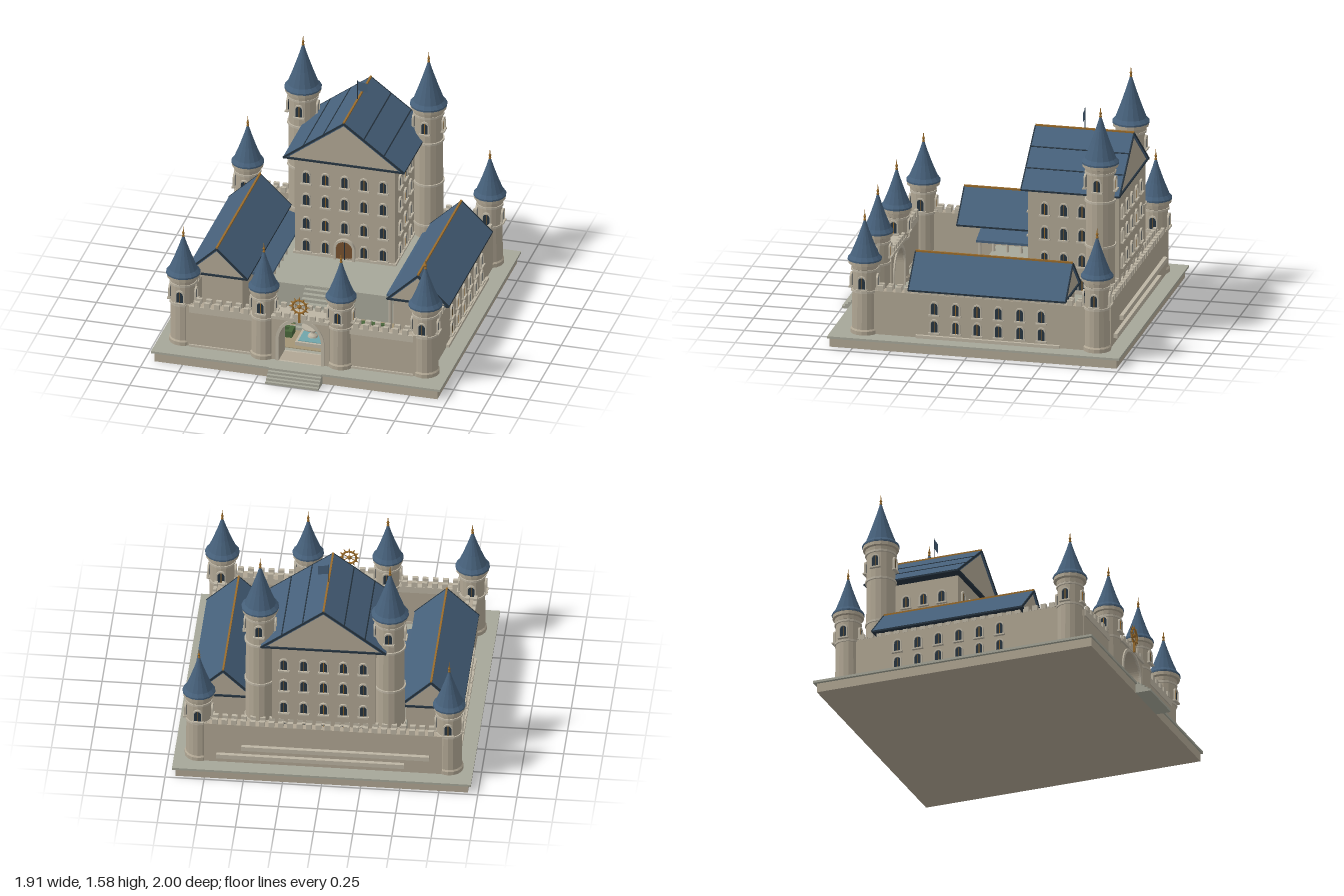
import * as THREE from 'three';

const mat = (color, o = {}) => new THREE.MeshStandardMaterial({ color, flatShading: true, ...o });
const M = {
  wall: mat(0xb0a693), trim: mat(0xbcb4a3), pave: mat(0xa6a799), sand: mat(0xa39576),
  roof: mat(0x46607a), dark: mat(0x263440), gold: mat(0x9a6c2c), hedge: mat(0x48663a),
  water: mat(0x6fa5aa), wood: mat(0x75502f), flag: mat(0x46607a, { side: THREE.DoubleSide }),
};

export function createModel() {
  const root = new THREE.Group();
  const mesh = (name, geo, m, x = 0, y = 0, z = 0, parent = root) => {
    const o = new THREE.Mesh(geo, m);
    o.name = name;
    o.position.set(x, y, z);
    parent.add(o);
    return o;
  };
  // box given by its limits on each axis
  const box = (name, m, x0, x1, y0, y1, z0, z1, parent = root) =>
    mesh(name, new THREE.BoxGeometry(x1 - x0, y1 - y0, z1 - z0), m, (x0 + x1) / 2, (y0 + y1) / 2, (z0 + z1) / 2, parent);
  const group = (name, x = 0, y = 0, z = 0, ry = 0) => {
    const g = new THREE.Group();
    g.name = name;
    g.position.set(x, y, z);
    g.rotation.y = ry;
    root.add(g);
    return g;
  };
  const poly = pts => new THREE.Shape(pts.map(p => new THREE.Vector2(...p)));
  const extrude = (shape, depth, curveSegments = 8) =>
    new THREE.ExtrudeGeometry(shape, { depth, bevelEnabled: false, curveSegments });
  // round-headed outline, base at y = 0
  const arch = (w, h, C = THREE.Shape) => {
    const s = new C();
    s.moveTo(-w / 2, 0);
    s.lineTo(w / 2, 0);
    s.lineTo(w / 2, h - w / 2);
    s.absarc(0, h - w / 2, w / 2, 0, Math.PI, false);
    s.lineTo(-w / 2, 0);
    return s;
  };

  // Arched windows, shared geometry
  const frameShape = arch(0.06, 0.09);
  frameShape.holes.push(arch(0.044, 0.08, THREE.Path));
  const frameGeo = extrude(frameShape, 0.012, 6), paneGeo = extrude(arch(0.046, 0.081), 0.004, 6);
  const barGeo = new THREE.BoxGeometry(0.004, 0.075, 0.004), sillGeo = new THREE.BoxGeometry(0.072, 0.01, 0.022);
  const windowAt = (x, y, z, ry) => {
    const g = group('window', x, y - 0.045, z, ry);
    mesh('windowFrame', frameGeo, M.trim, 0, 0, 0, g);
    mesh('windowPane', paneGeo, M.dark, 0, 0, 0, g);
    mesh('windowBar', barGeo, M.gold, 0, 0.039, 0.005, g);
    mesh('windowSill', sillGeo, M.trim, 0, -0.003, 0.008, g);
  };

  // Evenly spaced battlements along a line
  const merlons = (x0, z0, x1, z1, y, h = 0.035) => {
    const len = Math.hypot(x1 - x0, z1 - z0), n = Math.round(len / 0.06);
    const geo = new THREE.BoxGeometry(0.036, h, 0.022);
    for (let i = 0; i < n; i++) {
      const t = (i + 0.5) / n;
      mesh('merlon', geo, M.trim, x0 + (x1 - x0) * t, y + h / 2, z0 + (z1 - z0) * t).rotation.y = -Math.atan2(z1 - z0, x1 - x0);
    }
  };

  // Round tower: r shaft radius, e eave radius, h eave height, tip cone top
  const tower = (name, x, z, r, e, h, tip, bands, winY) => {
    const g = group(name, x, 0, z);
    const lathe = (n, m, pts) => mesh(n, new THREE.LatheGeometry(pts.map(p => new THREE.Vector2(...p)), 16), m, 0, 0, 0, g);
    lathe('towerShaft', M.wall, [[r * 1.1, 0.075], [r * 1.1, 0.1], [r, 0.11], [r * 0.95, h - 0.06], [r * 1.02, h - 0.055],
      [r * 1.05, h - 0.03], [e * 0.96, h - 0.025], [e * 0.96, h]]);
    bands.forEach(y => mesh('towerBand', new THREE.CylinderGeometry(r * 1.06, r * 1.06, 0.014, 16), M.trim, 0, y, 0, g));
    const c = tip - h;
    lathe('towerRoof', M.roof, [[0, h - 0.003], [e, h - 0.003], [e, h + 0.008], [e * 0.83, h + 0.03], [e * 0.52, h + c * 0.42], [e * 0.23, h + c * 0.75], [0.004, tip]]);
    lathe('finial', M.gold, [[0.004, tip - 0.02], [0.009, tip - 0.005], [0.005, tip + 0.005], [0.009, tip + 0.016], [0.004, tip + 0.026], [0, tip + 0.065]]);
    for (let k = 0; k < 4; k++) {
      const a = k * Math.PI / 2;
      windowAt(x + Math.sin(a) * r * 0.96, winY, z + Math.cos(a) * r * 0.96, a);
    }
  };

  // Gabled roof running along z, with stone gable, ridge and eave trim
  const gable = (name, cx, w, y0, y1, z0, z1, seams) => {
    const g = group(name, cx);
    const t = 0.022, L = z1 - z0, slope = (y1 - y0) / w;
    mesh('roofSlopes', extrude(poly([[-w, y0], [-w + t / slope, y0], [0, y1 - t], [w - t / slope, y0], [w, y0], [0, y1]]), L), M.roof, 0, 0, z0, g);
    mesh('gableWall', extrude(poly([[-w + 0.02, y0], [w - 0.02, y0], [0, y1 - 0.018]]), L - 0.02), M.wall, 0, 0, z0 + 0.01, g);
    box('eaveTrim', M.dark, -w, w, y0 - 0.012, y0, z0, z1, g);
    box('ridge', M.gold, -0.006, 0.006, y1 - 0.008, y1 + 0.006, z0, z1, g);
    const a = Math.atan(slope);
    for (const s of [-1, 1]) {
      seams.forEach(d => mesh('roofSeam', new THREE.BoxGeometry(0.008, 0.006, L), M.dark, s * d, y1 - slope * d, (z0 + z1) / 2, g).rotation.z = -s * a);
      for (const z of [z0, z1])
        mesh('vergeTrim', new THREE.BoxGeometry(Math.hypot(w, y1 - y0), 0.012, 0.008), M.dark, s * w / 2, (y0 + y1) / 2 - 0.006, z, g).rotation.z = -s * a;
    }
  };

  // Plinth and front steps
  box('plinth', M.wall, -0.935, 0.935, 0, 0.06, -0.98, 0.9);
  box('plinthCap', M.pave, -0.955, 0.955, 0.06, 0.075, -1, 0.91);
  for (let i = 0; i < 5; i++) box('frontStep', M.pave, -0.175, 0.175, 0, 0.015 * (i + 1), 0.88, 1 - i * 0.02);
  box('courtyard', M.sand, -0.77, 0.77, 0.07, 0.08, 0.14, 0.63);

  // Towers
  for (const s of [-1, 1]) {
    tower('frontCornerTower', s * 0.8, 0.7, 0.083, 0.11, 0.565, 0.83, [0.36, 0.5], 0.425);
    tower('backCornerTower', s * 0.8, -0.82, 0.083, 0.105, 0.565, 0.83, [0.36, 0.5], 0.425);
    tower('gateTower', s * 0.255, 0.745, 0.08, 0.1, 0.565, 0.82, [0.36, 0.5], 0.45);
    tower('keepTower', s * 0.415, -0.75, 0.096, 0.12, 1.2, 1.51, [0.36, 0.65, 0.95, 1.14], 1.07);
  }

  // Curtain walls
  for (const s of [-1, 1]) {
    const sx = (n, m, a, b, ...r) => box(n, m, Math.min(s * a, s * b), Math.max(s * a, s * b), ...r);
    sx('frontWall', M.wall, 0.3, 0.76, 0.075, 0.365, 0.715, 0.775);
    sx('frontWallCourse', M.trim, 0.32, 0.74, 0.32, 0.365, 0.71, 0.782);
    sx('frontWallBase', M.trim, 0.32, 0.74, 0.075, 0.09, 0.71, 0.785);
    for (const z of [0.722, 0.772]) merlons(s * 0.33, z, s * 0.72, z, 0.365);
    sx('sideWall', M.wall, 0.77, 0.84, 0.075, 0.365, -0.78, 0.65);
    for (const x of [0.782, 0.83]) merlons(s * x, -0.74, s * x, 0.62, 0.365);

    // Side wings
    sx('wingBody', M.wall, 0.5, 0.835, 0.075, 0.395, -0.6, 0.37);
    sx('wingBase', M.trim, 0.8, 0.86, 0.075, 0.095, -0.585, 0.355);
    gable('wingRoof', s * 0.665, 0.205, 0.4, 0.595, -0.63, 0.4, []);
    for (let i = 0; i < 6; i++)
      for (const y of [0.16, 0.28]) windowAt(s * 0.84, y, 0.235 - i * 0.14, s * Math.PI / 2);

    // Lean-to gallery along the wing, wider on the right side
    const inner = s < 0 ? 0.36 : 0.415;
    mesh('galleryRoof', extrude(poly([[s * 0.5, 0.385], [s * 0.5, 0.365], [s * inner, 0.325], [s * inner, 0.34]].slice()
      [s < 0 ? 'slice' : 'reverse']()), 0.85), M.roof, 0, 0, -0.6);
    for (let i = 0; i < 6; i++)
      mesh('galleryPost', new THREE.CylinderGeometry(0.01, 0.012, 0.26, 8), M.trim, s * (inner + 0.02), 0.205, 0.23 - i * 0.09);
  }
  box('backWall', M.wall, -0.76, 0.76, 0.075, 0.365, -0.9, -0.83);
  for (const z of [-0.89, -0.84]) merlons(-0.72, z, 0.72, z, 0.365);
  box('backLedgeUpper', M.trim, -0.68, 0.52, 0.185, 0.215, -0.925, -0.88);
  box('backLedgeLower', M.trim, -0.52, 0.68, 0.115, 0.145, -0.925, -0.88);

  // Gatehouse with an open arch
  const gate = poly([[-0.19, 0], [0.19, 0], [0.19, 0.315], [-0.19, 0.315]]);
  gate.holes.push(arch(0.28, 0.295, THREE.Path));
  mesh('gatehouse', extrude(gate, 0.13, 16), M.wall, 0, 0.075, 0.67);
  const ring = arch(0.32, 0.315);
  ring.holes.push(arch(0.28, 0.295, THREE.Path));
  for (const z of [0.66, 0.795]) mesh('archRing', extrude(ring, 0.015, 16), M.trim, 0, 0.075, z);
  box('gateCornice', M.trim, -0.19, 0.19, 0.375, 0.395, 0.66, 0.815);
  for (const z of [0.675, 0.803]) merlons(-0.17, z, 0.17, z, 0.39);

  // Sun emblem above the gate
  const sun = group('sunOrnament', 0, 0.49, 0.82);
  mesh('sunRing', new THREE.TorusGeometry(0.045, 0.007, 6, 20), M.gold, 0, 0, 0, sun);
  mesh('sunHub', new THREE.SphereGeometry(0.014, 10, 8), M.gold, 0, 0, 0, sun);
  mesh('sunStand', new THREE.BoxGeometry(0.012, 0.07, 0.012), M.gold, 0, -0.08, 0, sun);
  for (let i = 0; i < 12; i++) {
    const a = i * Math.PI / 6;
    mesh('sunRay', new THREE.ConeGeometry(0.007, 0.024, 5), M.gold, Math.cos(a) * 0.06, Math.sin(a) * 0.06, 0, sun).rotation.z = a - Math.PI / 2;
    if (i % 2) mesh('sunSpoke', new THREE.BoxGeometry(0.04, 0.004, 0.004), M.gold, Math.cos(a) * 0.025, Math.sin(a) * 0.025, 0, sun).rotation.z = a;
  }

  // Terrace and its stair
  box('terrace', M.pave, -0.51, 0.51, 0.075, 0.27, -0.84, 0.15);
  for (let i = 0; i < 10; i++) box('terraceStep', M.pave, -0.15, 0.15, 0.075, 0.274 - i * 0.0195, 0.12, 0.148 + i * 0.028);

  // Keep
  box('keepBody', M.wall, -0.33, 0.33, 0.2, 0.96, -0.85, -0.255);
  box('keepBase', M.trim, -0.34, 0.34, 0.27, 0.285, -0.85, -0.245);
  gable('keepRoof', 0, 0.4, 0.97, 1.27, -0.87, -0.225, [0.133, 0.266]);
  for (const y of [0.34, 0.5, 0.67, 0.83]) {
    for (let i = -2; i <= 2; i++) {
      if (i || y > 0.4) windowAt(i * 0.127, y, -0.255, 0);
      windowAt(i * 0.127, y, -0.85, Math.PI);
    }
    for (const s of [-1, 1]) for (const z of [-0.365, -0.49, -0.61]) windowAt(s * 0.33, y, z, s * Math.PI / 2);
  }
  const doorFrame = arch(0.14, 0.15);
  doorFrame.holes.push(arch(0.11, 0.135, THREE.Path));
  mesh('doorFrame', extrude(doorFrame, 0.025), M.trim, 0, 0.27, -0.255);
  mesh('door', extrude(arch(0.112, 0.136), 0.01), M.wood, 0, 0.27, -0.255);
  box('doorSplit', M.dark, -0.002, 0.002, 0.27, 0.4, -0.25, -0.243);

  // Flag
  mesh('flagPole', new THREE.CylinderGeometry(0.003, 0.003, 0.15, 6), M.dark, 0, 1.335, -0.55);
  mesh('flag', new THREE.ShapeGeometry(poly([[0, 0], [0.065, -0.01], [0.065, 0.055], [0, 0.065]])), M.flag, 0, 1.34, -0.55);

  // Fountain
  const f = group('fountain', 0, 0.075, 0.5);
  box('poolBase', M.trim, -0.092, 0.092, 0, 0.03, -0.095, 0.095, f);
  box('poolWater', M.water, -0.075, 0.075, 0.03, 0.034, -0.078, 0.078, f);
  const bowls = [[0.035, 0.03], [0.03, 0.045], [0.014, 0.06], [0.014, 0.08], [0.07, 0.1], [0.072, 0.108], [0.06, 0.106], [0.012, 0.1], [0.01, 0.145],
    [0.038, 0.162], [0.038, 0.168], [0.009, 0.165], [0.008, 0.19], [0.012, 0.2], [0, 0.215]];
  mesh('fountainBowls', new THREE.LatheGeometry(bowls.map(p => new THREE.Vector2(...p)), 20), M.trim, 0, 0, 0, f);

  // Garden paths and clipped hedges
  const hedge = poly([[-0.07, -0.042], [0.07, -0.042], [0.07, 0.042], [-0.07, 0.042]]);
  hedge.holes.push(new THREE.Path([[-0.04, -0.018], [0.04, -0.018], [0.04, 0.018], [-0.04, 0.018]].map(p => new THREE.Vector2(...p))));
  const hedgeGeo = extrude(hedge, 0.045).rotateX(-Math.PI / 2);
  for (const s of [-1, 1]) {
    box('gardenPath', M.pave, s * 0.29 - 0.03, s * 0.29 + 0.03, 0.075, 0.084, 0.15, 0.52);
    box('gardenCrossPath', M.pave, s * 0.29 - 0.14, s * 0.29 + 0.14, 0.075, 0.083, 0.345, 0.4);
    for (const x of [0.207, 0.37]) for (const z of [0.28, 0.467]) {
      mesh('hedge', hedgeGeo, M.hedge, s * x, 0.078, z);
      box('hedgeBed', M.sand, s * x - 0.04, s * x + 0.04, 0.078, 0.095, z - 0.018, z + 0.018);
    }
  }
  return root;
}
